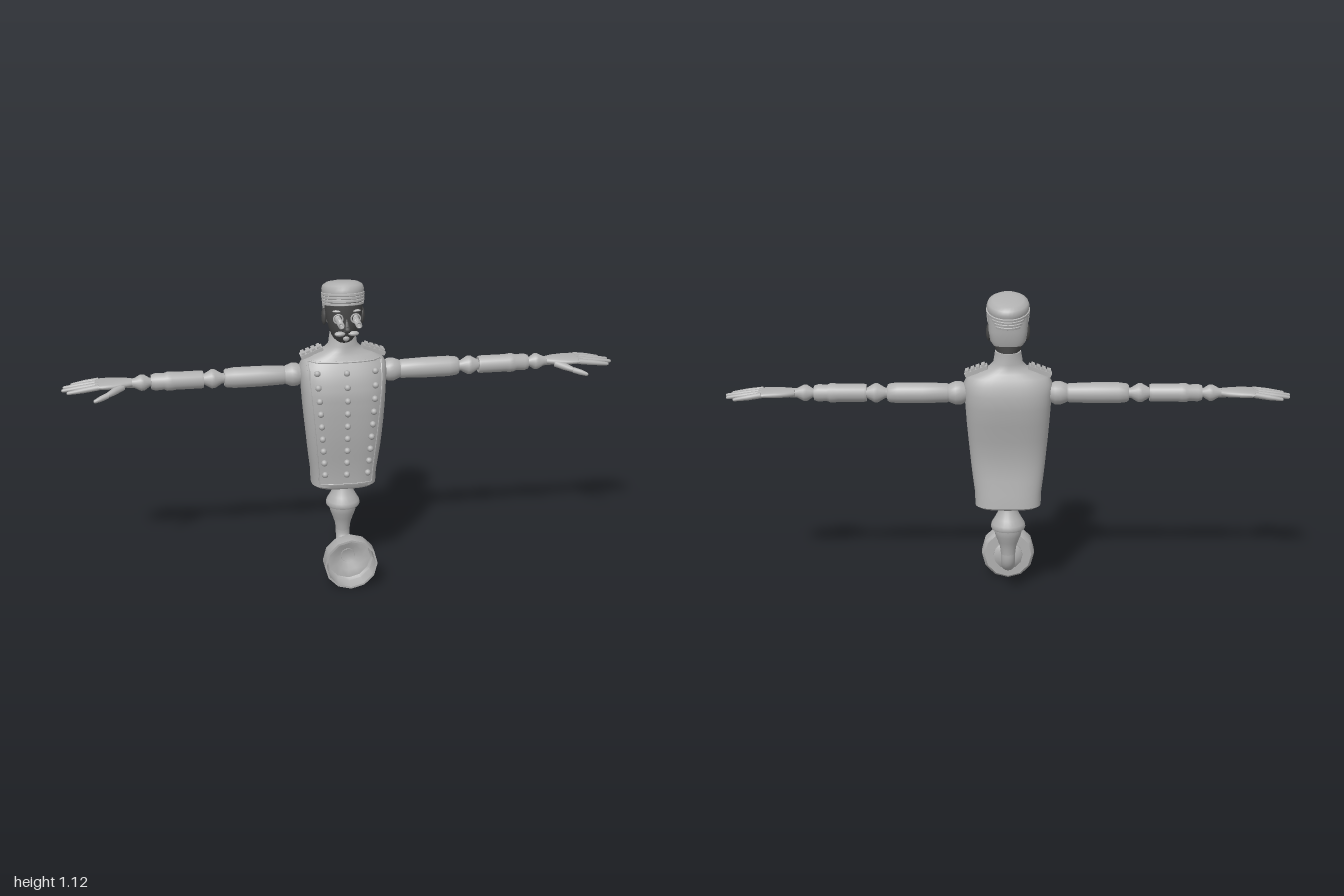
import * as THREE from 'three';
import { mergeGeometries, toCreasedNormals } from 'three/addons/utils/BufferGeometryUtils.js';

const lightGrey = new THREE.MeshStandardMaterial({ color: 0xb0b0b0, side: THREE.DoubleSide });
lightGrey.name = 'lightGrey';
const darkGrey = new THREE.MeshStandardMaterial({ color: 0x484848, side: THREE.DoubleSide });
darkGrey.name = 'darkGrey';

const V = (x, y, z) => new THREE.Vector3(x, y, z);

// superellipse point on a section [y, halfWidth, zBack, zFront, exponent]
function sectionPoint([y, w, zb, zf, e = 2], a) {
  const p = (t) => Math.sign(t) * Math.abs(t) ** (2 / e);
  return [w * p(Math.sin(a)), y, (zb + zf) / 2 + (zf - zb) / 2 * p(Math.cos(a))];
}

// closed skin through a stack of sections, capped at both ends
function loft(sections, n = 32) {
  const pos = [], index = [];
  for (const s of sections) for (let i = 0; i < n; i++) pos.push(...sectionPoint(s, i / n * Math.PI * 2));
  const last = sections.length - 1;
  for (let j = 0; j < last; j++) for (let i = 0; i < n; i++) {
    const a = j * n + i, b = j * n + (i + 1) % n;
    index.push(a, b, b + n, a, b + n, a + n);
  }
  const c = pos.length / 3;
  for (const s of [sections[0], sections[last]]) pos.push(0, s[0], (s[2] + s[3]) / 2);
  for (let i = 0; i < n; i++) {
    const k = (i + 1) % n;
    index.push(c, k, i, c + 1, last * n + i, last * n + k);
  }
  const g = new THREE.BufferGeometry();
  g.setAttribute('position', new THREE.Float32BufferAttribute(pos, 3));
  g.setIndex(index);
  return g;
}

const lathe = (pts, n = 20) => new THREE.LatheGeometry(pts.map(([r, y]) => new THREE.Vector2(r, y)), n);
const ball = (r, x, y, z, sx = 1, sy = 1, sz = 1) => new THREE.SphereGeometry(r, 12, 8).scale(sx, sy, sz).translate(x, y, z);

// tapered, rounded finger between two points
function finger(a, b, r0, r1) {
  const d = b.clone().sub(a), L = d.length();
  const g = lathe([[0, 0], [r0, 0.003], [r0 * 0.95, L * 0.5], [r1, L - r1], [r1 * 0.7, L - r1 * 0.3], [0, L]], 10);
  g.applyQuaternion(new THREE.Quaternion().setFromUnitVectors(V(0, 1, 0), d.normalize()));
  return g.translate(a.x, a.y, a.z);
}

function mirror(geo) {
  const g = geo.clone().scale(-1, 1, 1), ix = g.index;
  for (let i = 0; i < ix.count; i += 3) {
    const t = ix.getX(i);
    ix.setX(i, ix.getX(i + 1));
    ix.setX(i + 1, t);
  }
  return g;
}

// tunic sections
const TORSO = [
  [0.343, 0.105, -0.115, 0.02, 3], [0.352, 0.118, -0.127, 0.028, 3], [0.4, 0.12, -0.121, 0.03, 3],
  [0.45, 0.127, -0.112, 0.035, 3], [0.5, 0.133, -0.107, 0.042, 3], [0.55, 0.138, -0.108, 0.048, 3],
  [0.6, 0.143, -0.115, 0.052, 3], [0.66, 0.148, -0.127, 0.055, 3], [0.72, 0.152, -0.138, 0.055, 2.9],
  [0.77, 0.156, -0.14, 0.044, 2.8], [0.805, 0.156, -0.132, 0.03, 2.7], [0.83, 0.142, -0.124, 0.016, 2.5],
  [0.848, 0.107, -0.114, 0.008, 2.3], [0.862, 0.07, -0.108, 0.003, 2.1], [0.88, 0.052, -0.105, 0, 2],
  [0.92, 0.046, -0.104, -0.006, 2], [0.92, 0.04, -0.098, -0.012, 2],
];

// front of the tunic at any x and y
function frontZ(x, y) {
  let j = 0;
  while (j < TORSO.length - 2 && TORSO[j + 1][0] < y) j++;
  const A = TORSO[j], B = TORSO[j + 1], t = (y - A[0]) / (B[0] - A[0]);
  const [, w, zb, zf, e] = A.map((v, i) => v + (B[i] - v) * t);
  return (zb + zf) / 2 + (zf - zb) / 2 * Math.max(0, 1 - Math.abs(x / w) ** e) ** (1 / e);
}

export function createModel() {
  const root = new THREE.Group();
  root.name = 'waiterOnPlunger';
  // creases are found at a larger scale so close vertices stay apart
  const add = (name, geo, mat = lightGrey) => {
    const mesh = new THREE.Mesh(toCreasedNormals(geo.clone().scale(100, 100, 100), 0.75).scale(0.01, 0.01, 0.01), mat);
    mesh.name = name;
    root.add(mesh);
  };
  const addPair = (name, geo, mat) => {
    add('left' + name, geo, mat);
    add('right' + name, mirror(geo), mat);
  };

  // tunic with raised front panel and piping
  add('tunic', loft(TORSO, 40));
  const panelPoint = (u, v, lift) => {
    const y = 0.368 + 0.462 * v, x = u * (0.094 + 0.036 * Math.min(1, v * 1.15));
    return V(x, y, frontZ(x, y) + lift);
  };
  const panel = new THREE.PlaneGeometry(2, 1, 20, 24), pp = panel.attributes.position;
  for (let i = 0; i < pp.count; i++) {
    const p = panelPoint(pp.getX(i), pp.getY(i) + 0.5, 0.007);
    pp.setXYZ(i, p.x, p.y, p.z);
  }
  add('frontPanel', panel);
  const edge = [];
  for (let i = 0; i < 16; i++) edge.push(panelPoint(-1, i / 16, 0.004));
  for (let i = 0; i < 10; i++) edge.push(panelPoint(-1 + i / 5, 1, 0.004));
  for (let i = 0; i < 16; i++) edge.push(panelPoint(1, 1 - i / 16, 0.004));
  for (let i = 0; i < 10; i++) edge.push(panelPoint(1 - i / 5, 0, 0.004));
  add('panelPiping', new THREE.TubeGeometry(new THREE.CatmullRomCurve3(edge, true), 120, 0.005, 6, true));

  // three columns of buttons
  const buttons = [];
  for (let i = 0; i < 9; i++) for (const u of [-0.8, 0, 0.8]) {
    const p = panelPoint(u, 0.09 + i * 0.105, 0.012);
    buttons.push(ball(0.0115, p.x, p.y, p.z));
  }
  add('buttons', mergeGeometries(buttons));

  // shoulder boards
  const board = [new THREE.BoxGeometry(0.085, 0.014, 0.044)];
  for (let i = 0; i < 4; i++) board.push(new THREE.BoxGeometry(0.013, 0.01, 0.038).translate(-0.03 + i * 0.02, 0.01, 0));
  addPair('ShoulderBoard', mergeGeometries(board).rotateZ(-0.36).translate(0.112, 0.85, -0.057));

  // arms: joints and sleeves turned along x
  const armPart = (name, pts) => addPair(name, lathe(pts).rotateZ(-Math.PI / 2).translate(0, 0.768, -0.06));
  armPart('ShoulderJoint', [[0, 0.14], [0.03, 0.145], [0.041, 0.165], [0.042, 0.185], [0.034, 0.205], [0.022, 0.225], [0.02, 0.26]]);
  armPart('UpperArm', [[0, 0.207], [0.03, 0.207], [0.034, 0.215], [0.037, 0.3], [0.037, 0.39], [0.033, 0.42], [0.028, 0.426], [0, 0.426]]);
  armPart('Elbow', [[0.016, 0.41], [0.019, 0.435], [0.034, 0.46], [0.034, 0.472], [0.019, 0.498], [0.016, 0.52]]);
  armPart('Forearm', [[0, 0.5], [0.03, 0.5], [0.032, 0.508], [0.032, 0.6], [0.034, 0.612], [0.034, 0.628], [0.029, 0.64], [0.031, 0.67], [0.026, 0.685], [0, 0.685]]);
  armPart('Wrist', [[0.013, 0.67], [0.016, 0.69], [0.029, 0.71], [0.029, 0.722], [0.017, 0.745], [0.017, 0.77]]);

  // hands
  addPair('Palm', loft([
    [0.752, 0.014, -0.083, -0.037, 2], [0.78, 0.015, -0.098, -0.028, 2.2], [0.82, 0.014, -0.108, -0.015, 2.4],
    [0.86, 0.012, -0.112, -0.014, 2.5], [0.882, 0.008, -0.108, -0.018, 2.5],
  ], 20).rotateZ(-Math.PI / 2).translate(0, 0.77, 0));
  const digits = [[-0.1, -0.108, 0.968], [-0.076, -0.08, 0.995], [-0.051, -0.05, 1], [-0.027, -0.02, 0.982]]
    .map(([z0, z1, x]) => finger(V(0.865, 0.771, z0), V(x, 0.756, z1), 0.0105, 0.006));
  digits.push(finger(V(0.785, 0.764, -0.04), V(0.845, 0.75, 0.012), 0.014, 0.01));
  digits.push(finger(V(0.838, 0.751, 0.006), V(0.89, 0.738, 0.033), 0.0105, 0.007));
  addPair('Fingers', mergeGeometries(digits));

  // head
  add('face', loft([
    [0.885, 0.035, -0.09, -0.015], [0.903, 0.036, -0.098, 0.005], [0.92, 0.043, -0.1, 0.027], [0.95, 0.054, -0.1, 0.041],
    [0.985, 0.062, -0.104, 0.044], [1.02, 0.067, -0.11, 0.049], [1.06, 0.067, -0.11, 0.046],
  ]), darkGrey);
  add('hair', loft([
    [0.948, 0.05, -0.108, -0.06, 2.5], [0.965, 0.063, -0.114, -0.04, 2.5], [1.0, 0.068, -0.12, -0.028, 2.6], [1.06, 0.071, -0.122, -0.012, 2.6],
  ]));
  const nose = new THREE.ConeGeometry(0.015, 0.055, 10).rotateX(-0.22).translate(0, 0.982, 0.046);
  add('nose', mergeGeometries([nose, ball(0.012, 0, 0.962, 0.056)]), darkGrey);
  addPair('Ear', ball(0.028, 0.068, 0.985, -0.042, 0.35, 1.1, 0.75), darkGrey);
  addPair('Moustache', ball(0.018, 0.015, 0.943, 0.038, 1.1, 0.5, 0.7).rotateZ(-0.01));
  add('chinTuft', ball(0.012, 0, 0.922, 0.026, 1, 0.9, 0.7));
  addPair('Eye', ball(0.013, 0.031, 1.0, 0.034));
  addPair('Eyebrow', ball(0.018, 0.031, 1.026, 0.036, 1.1, 0.25, 0.5));
  addPair('EyeRing', new THREE.TorusGeometry(0.016, 0.003, 8, 20).translate(0.031, 1.0, 0.045));

  // coiled springs reaching out of the eyes
  const coil = [];
  for (let i = 0; i <= 84; i++) {
    const a = i / 12 * Math.PI * 2;
    coil.push(V(0.031 + 0.0085 * Math.cos(a), 0.997 + 0.0085 * Math.sin(a), 0.045 + i / 84 * 0.074));
  }
  addPair('EyeSpring', new THREE.TubeGeometry(new THREE.CatmullRomCurve3(coil), 150, 0.003, 6));

  // banded cap, higher at the front
  const cap = [];
  for (let i = 0; i < 4; i++) {
    const y = -0.024 + i * 0.011, r = 0.07 + i * 0.001;
    for (const [dy, dr] of [[0, 0], [0.002, 0.004], [0.009, 0.004], [0.011, 0]]) cap.push([y + dy, r + dr, -r - dr - 0.018, r + dr + 0.018]);
  }
  cap.push([0.032, 0.075, -0.093, 0.092], [0.046, 0.07, -0.086, 0.085], [0.055, 0.055, -0.068, 0.068], [0.059, 0.03, -0.04, 0.04]);
  add('cap', loft(cap).rotateX(-0.2).translate(0, 1.052, -0.045));

  // pedestal under the tunic
  add('waistBell', lathe([[0.028, 0.36], [0.028, 0.345], [0.035, 0.32], [0.048, 0.295], [0.06, 0.275], [0.063, 0.262], [0.06, 0.255], [0, 0.255]].reverse(), 24).translate(0, 0, -0.051));
  add('stem', lathe([[0.026, 0.155], [0.029, 0.18], [0.037, 0.205], [0.046, 0.228], [0.05, 0.245], [0.05, 0.257]], 24).translate(0, 0, -0.054));
  const bend = new THREE.CurvePath();
  bend.add(new THREE.LineCurve3(V(0, 0.175, -0.054), V(0, 0.15, -0.054)));
  bend.add(new THREE.CubicBezierCurve3(V(0, 0.15, -0.054), V(0, 0.118, -0.054), V(0, 0.099, -0.034), V(0, 0.099, -0.004)));
  bend.add(new THREE.LineCurve3(V(0, 0.099, -0.004), V(0, 0.099, 0.07)));
  add('bentPipe', new THREE.TubeGeometry(bend, 32, 0.026, 16));

  // hollow plunger cup, open to the front
  const cup = lathe([[0, 0.054], [0.028, 0.054], [0.04, 0.058], [0.054, 0.068], [0.054, 0.077], [0.087, 0.078], [0.097, 0.09], [0.097, 0.145],
    [0.09, 0.145], [0.088, 0.095], [0.08, 0.085], [0.052, 0.082], [0.027, 0.064], [0, 0.064]], 12);
  add('plungerCup', cup.rotateX(Math.PI / 2).translate(0, 0.097, 0));
  return root;
}
